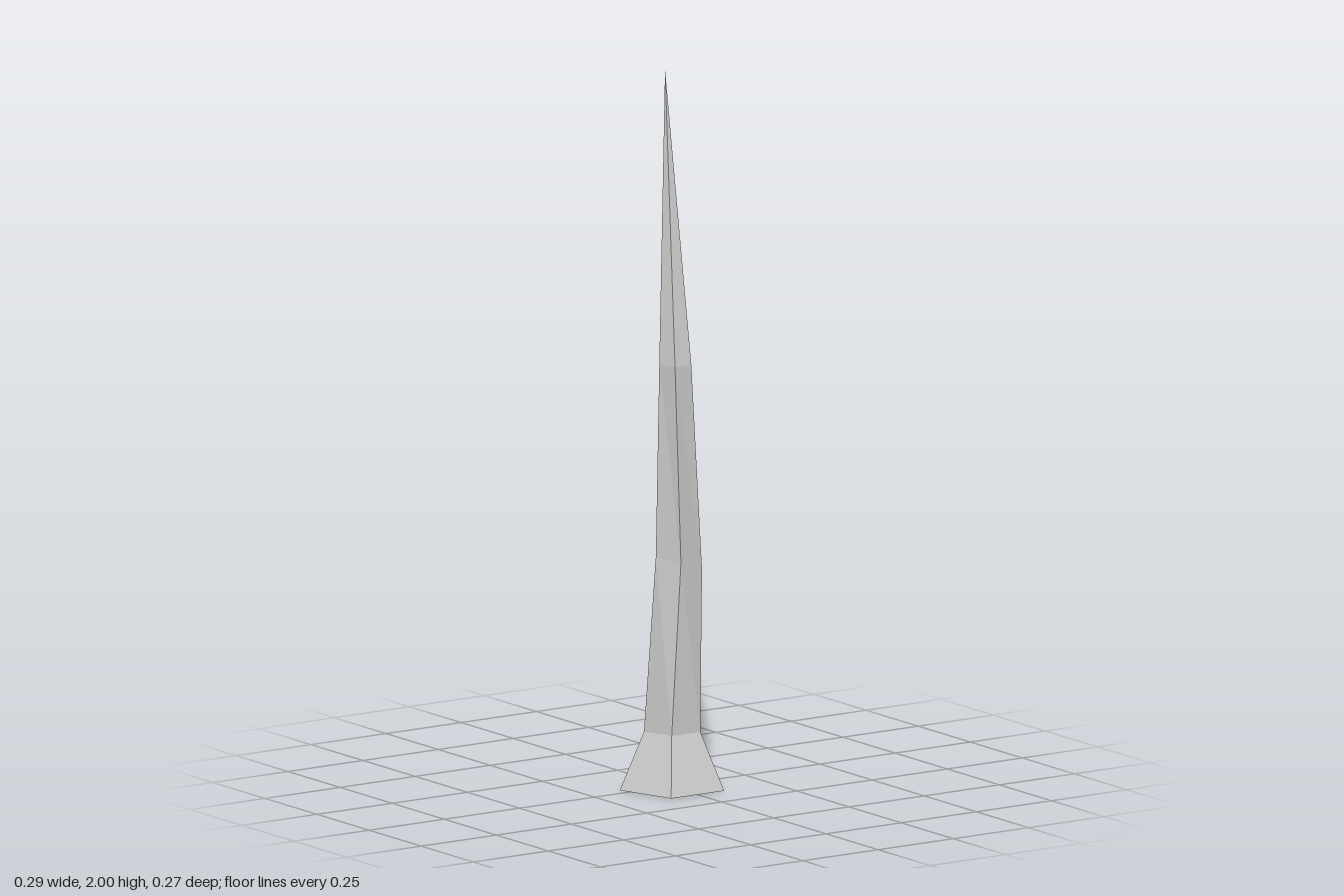
import * as THREE from 'three';

// Cross-sections from the foot upward; corners run back, right, front right, front left, left as [x, y, z]
const pentagon = (r, x, y, z) => Array.from({ length: 5 }, (_, i) => {
  const a = (i / 5) * Math.PI * 2;
  return [x + r * Math.sin(a), y, z - r * Math.cos(a)];
});

const rings = [
  pentagon(0.15, 0, 0, 0.013),
  pentagon(0.081, 0, 0.16, 0.013),
  // uneven bend in the shaft
  [[-0.004, 0.63, -0.042], [0.069, 0.61, -0.01], [0.061, 0.61, 0.067], [-0.018, 0.64, 0.08], [-0.055, 0.65, 0.013]],
  pentagon(0.046, -0.01, 1.19, 0.042),
];
const tip = [0.002, 2, -0.025];

function facetedMesh(name, triangles) {
  const geometry = new THREE.BufferGeometry();
  geometry.setAttribute('position', new THREE.Float32BufferAttribute(triangles.flat(2), 3));
  geometry.computeVertexNormals();
  const mesh = new THREE.Mesh(geometry, new THREE.MeshStandardMaterial({ color: 0xcccccc, flatShading: true }));
  mesh.name = name;
  return mesh;
}

// Side faces joining two neighbouring cross-sections
function band(lower, upper) {
  return lower.flatMap((a, i) => {
    const j = (i + 1) % lower.length;
    return [[a, upper[i], upper[j]], [a, upper[j], lower[j]]];
  });
}

export function createModel() {
  const group = new THREE.Group();
  group.name = 'crookedSpike';

  // Flared foot with a closed underside
  const base = rings[0];
  const underside = [1, 2, 3].map((i) => [base[0], base[i], base[i + 1]]);
  group.add(facetedMesh('flaredFoot', [...band(rings[0], rings[1]), ...underside]));

  // Bent shaft
  group.add(facetedMesh('shaft', [...band(rings[1], rings[2]), ...band(rings[2], rings[3])]));

  // Long point
  const top = rings[3];
  group.add(facetedMesh('point', top.map((a, i) => [a, tip, top[(i + 1) % 5]])));

  return group;
}
